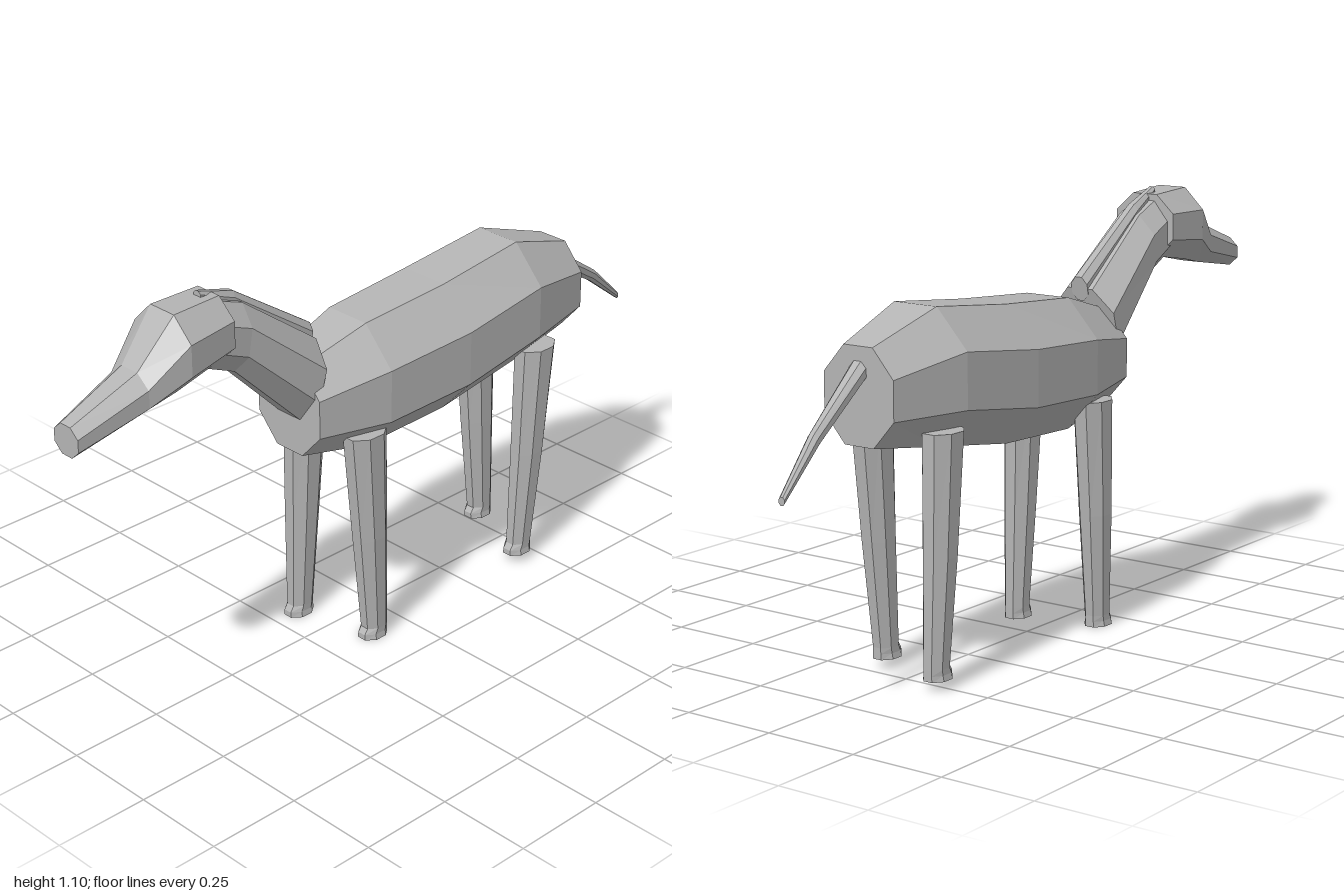
import * as THREE from 'three';

const SIDES = 8;

// Closed loft through octagonal rings: [x, y, z, half width, half height, tilt]
function loft(rings) {
  const pts = rings.map(([cx, cy, cz, a, b, tilt = 0]) => {
    const k = 1 / Math.cos(Math.PI / SIDES);
    return Array.from({ length: SIDES }, (_, j) => {
      const t = ((j + 0.5) / SIDES) * Math.PI * 2;
      const v = b * k * Math.sin(t);
      return [cx + a * k * Math.cos(t), cy + v * Math.cos(tilt), cz + v * Math.sin(tilt)];
    });
  });
  const out = [];
  const last = pts.length - 1;
  for (let j = 0; j < SIDES; j++) {
    const n = (j + 1) % SIDES;
    for (let i = 0; i < last; i++) {
      const [p, q, r, s] = [pts[i][j], pts[i][n], pts[i + 1][n], pts[i + 1][j]];
      out.push(...p, ...q, ...r, ...p, ...r, ...s);
    }
    // end caps
    out.push(...rings[0].slice(0, 3), ...pts[0][n], ...pts[0][j]);
    out.push(...rings[last].slice(0, 3), ...pts[last][j], ...pts[last][n]);
  }
  const g = new THREE.BufferGeometry();
  g.setAttribute('position', new THREE.Float32BufferAttribute(out, 3));
  g.computeVertexNormals();
  return g;
}

export function createModel() {
  const group = new THREE.Group();
  const grey = new THREE.MeshStandardMaterial({ color: 0xb4b4b4, flatShading: true });
  grey.name = 'plain grey';

  const add = (name, rings) => {
    const mesh = new THREE.Mesh(loft(rings), grey);
    mesh.name = name;
    group.add(mesh);
  };

  // Barrel body, rump to chest
  add('body', [
    [0, 0.73, -0.665, 0.105, 0.12],
    [0, 0.75, -0.45, 0.156, 0.17],
    [0, 0.715, -0.18, 0.167, 0.175],
    [0, 0.7, 0.09, 0.156, 0.17],
    [0, 0.69, 0.29, 0.11, 0.122],
  ]);

  // Neck rising to the back of the head
  add('neck', [
    [0, 0.768, 0.262, 0.095, 0.105, -0.28],
    [0, 0.952, 0.475, 0.075, 0.087, -0.17],
    [0.005, 0.997, 0.585, 0.07, 0.083, -0.17],
  ]);

  // Head tapering to the muzzle, turned slightly to one side
  add('head', [
    [0.004, 1.002, 0.54, 0.09, 0.083],
    [0.015, 0.992, 0.69, 0.1, 0.098],
    [0.024, 0.925, 0.8, 0.067, 0.055],
    [0.037, 0.875, 1.0, 0.043, 0.039],
  ]);

  // Mane ridge along the neck
  add('mane', [
    [0, 0.868, 0.232, 0.025, 0.032, -0.2],
    [0, 1.04, 0.475, 0.02, 0.024, -0.3],
    [0.01, 1.088, 0.58, 0.012, 0.012],
  ]);

  // Tail, tip to root
  add('tail', [
    [-0.053, 0.552, -1.0, 0.009, 0.01],
    [-0.03, 0.665, -0.86, 0.016, 0.016, -0.5],
    [0.002, 0.795, -0.655, 0.025, 0.022, -0.5],
  ]);

  // Legs: [name, side, top height, foot height, top z, foot z]
  const legs = [
    ['frontLeftLeg', 1, 0.605, 0, 0.137, 0.103],
    ['frontRightLeg', -1, 0.605, 0, 0.137, 0.165],
    ['backLeftLeg', 1, 0.632, 0.025, -0.485, -0.445],
    ['backRightLeg', -1, 0.632, 0.025, -0.485, -0.515],
  ];
  const down = Math.PI / 2;
  for (const [name, s, top, foot, zTop, zFoot] of legs) {
    add(name, [
      [s * 0.109, top, zTop, 0.044, 0.058, down],
      [s * 0.109, (top + foot) / 2, (zTop + zFoot) / 2, 0.038, 0.046, down],
      [s * 0.107, foot + 0.03, zFoot, 0.029, 0.035, down],
      [s * 0.107, foot + 0.015, zFoot + 0.005, 0.029, 0.04, down],
      [s * 0.107, foot, zFoot + 0.005, 0.032, 0.04, down],
    ]);
  }
  return group;
}
